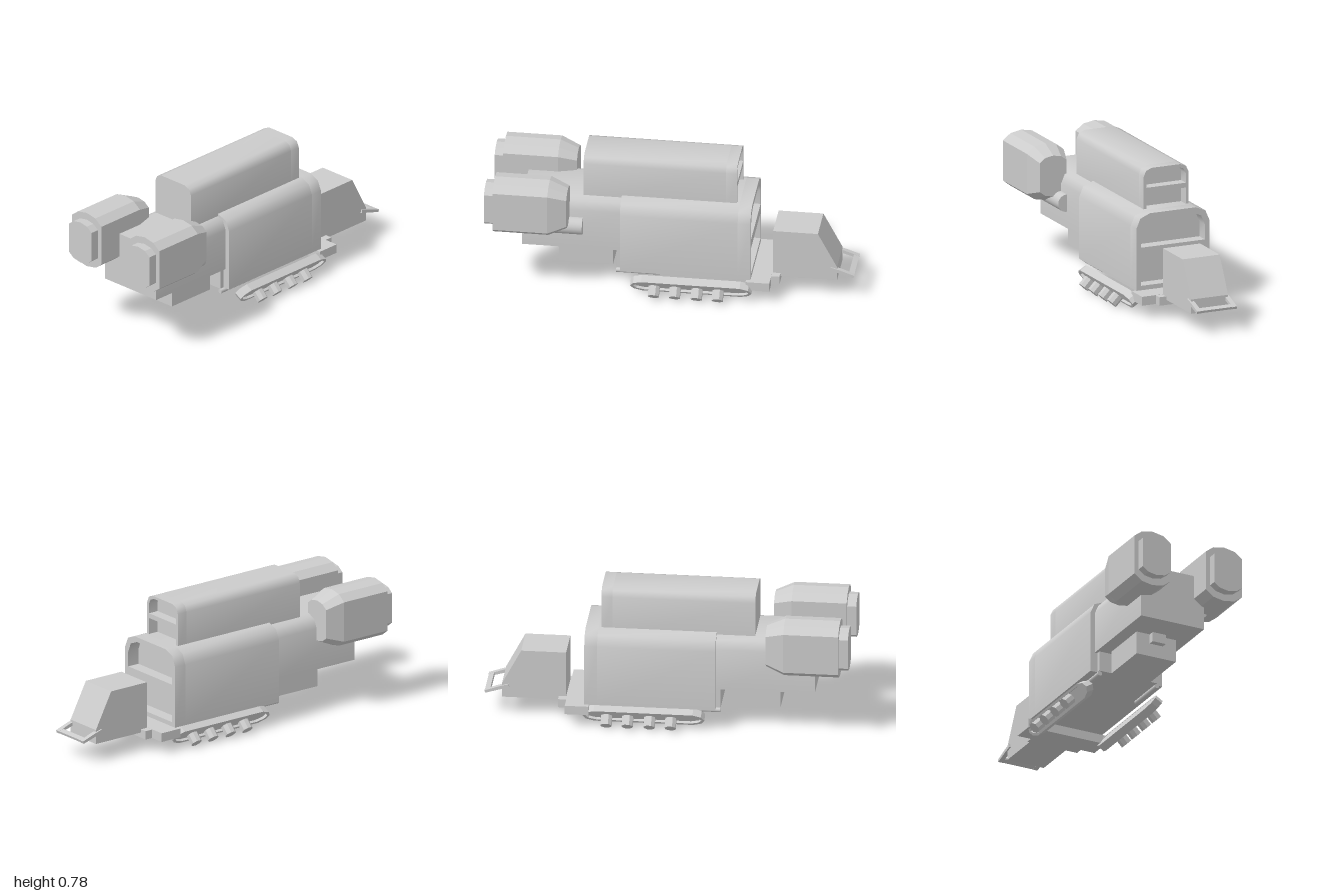
import * as THREE from 'three';
import { toCreasedNormals } from 'three/addons/utils/BufferGeometryUtils.js';

const MID = -0.022; // z of the hull centre line
const grey = new THREE.MeshStandardMaterial({ color: 0xcccccc });

function add(parent, name, geometry, x = 0, y = 0, z = 0) {
  const mesh = new THREE.Mesh(geometry, grey);
  mesh.name = name;
  mesh.position.set(x, y, z);
  parent.add(mesh);
  return mesh;
}

// Box given by its limits on each axis
function block(parent, name, [x0, x1], [y0, y1], [z0, z1]) {
  return add(parent, name, new THREE.BoxGeometry(x1 - x0, y1 - y0, z1 - z0),
    (x0 + x1) / 2, (y0 + y1) / 2, (z0 + z1) / 2);
}

const toPoints = (list) => list.map(([a, b]) => new THREE.Vector2(a, b));

// Symmetric outline with bevelled top shoulders
function archPoints(half, y0, y1, bevelX, bevelY) {
  const side = [
    [half, y0], [half, y1 - bevelY],
    [half - bevelX * 0.3, y1 - bevelY * 0.3], [half - bevelX, y1],
  ];
  return toPoints([...side, ...side.map(([a, b]) => [-a, b]).reverse()]);
}

// Extrude an outline (across, up) along x
function alongX(points, x0, x1, holes = [], crease = 0.9, steps = 1) {
  const shape = new THREE.Shape(points);
  shape.holes = holes.map((h) => new THREE.Path(h));
  const geo = new THREE.ExtrudeGeometry(shape, { depth: x1 - x0, bevelEnabled: false, steps });
  geo.rotateY(Math.PI / 2).translate(x0, 0, 0);
  return toCreasedNormals(geo, crease);
}

// Elongated loop outline of a track
function trackPoints(sx, sy) {
  const quarter = [[0.333, 0], [0.315, 0.028], [0.27, 0.045]];
  const top = [...quarter, ...quarter.map(([a, b]) => [-a, b]).reverse()];
  const bottom = top.slice(1, -1).map(([a, b]) => [a, -b]).reverse();
  return toPoints([...top, ...bottom].map(([a, b]) => [a * sx, b * sy]));
}

function makeTrack() {
  const track = new THREE.Group();
  track.name = 'track';
  const slab = new THREE.Group();
  slab.name = 'trackSlab';
  slab.position.set(0, 0.074, 0.212);
  slab.rotation.x = 0.54;
  track.add(slab);
  const rim = new THREE.Shape(trackPoints(1, 1));
  rim.holes.push(new THREE.Path(trackPoints(0.95, 0.72)));
  add(slab, 'trackRim', new THREE.ExtrudeGeometry(rim, { depth: 0.046, bevelEnabled: false }), 0, 0, -0.023);
  add(slab, 'trackPanel', new THREE.ExtrudeGeometry(new THREE.Shape(trackPoints(0.96, 0.75)),
    { depth: 0.03, bevelEnabled: false }), 0, 0, -0.022);
  for (const x of [-0.2, -0.085, 0.035, 0.15]) {
    const geo = toCreasedNormals(new THREE.CylinderGeometry(0.032, 0.032, 0.056, 8), 0.3);
    geo.rotateY(Math.PI / 8).rotateX(Math.PI / 2 + 0.8);
    add(track, 'roadWheel', geo, x, 0.045, 0.25);
  }
  return track;
}

function makeEngine() {
  const engine = new THREE.Group();
  engine.name = 'engine';
  const top = [[0.111, 0.113], [0.065, 0.148], [0, 0.16], [-0.065, 0.148], [-0.111, 0.113]];
  const ring = [...top, ...top.map(([a, b]) => [-a, -b])];
  // Housing: the last ring shrinks to make the tapered nose
  const housing = alongX(toPoints(ring), -0.95, -0.55, [], 0.1, 4);
  const p = housing.attributes.position;
  for (let i = 0; i < p.count; i++) {
    if (p.getX(i) > -0.56) p.setXYZ(i, p.getX(i), p.getY(i) * 0.72, p.getZ(i) * 0.73);
  }
  add(engine, 'engineHousing', toCreasedNormals(housing, 0.2));
  const nozzle = ring.map(([a, b]) => [a * 0.77, b * 0.75]);
  add(engine, 'engineNozzle', alongX(toPoints(nozzle), -1, -0.94, [], 0.3));
  return engine;
}

export function createModel() {
  const model = new THREE.Group();
  model.name = 'heavyHauler';

  // Hull sections, each with a framed, recessed front
  add(model, 'mainHull', alongX(archPoints(0.22, 0.13, 0.558, 0.082, 0.08), -0.27, 0.375), 0, 0, MID);
  add(model, 'mainFrontFrame', alongX(archPoints(0.22, 0.13, 0.558, 0.082, 0.08), 0.375, 0.445, [
    archPoints(0.193, 0.37, 0.53, 0.075, 0.075),
    toPoints([[-0.193, 0.155], [0.193, 0.155], [0.193, 0.315], [-0.193, 0.315]]),
  ]), 0, 0, MID);
  add(model, 'upperDeck', alongX(archPoints(0.135, 0.5, 0.786, 0.048, 0.046), -0.48, 0.3), 0, 0, MID);
  add(model, 'upperFrontFrame', alongX(archPoints(0.135, 0.5, 0.786, 0.048, 0.046), 0.3, 0.36, [
    archPoints(0.119, 0.677, 0.771, 0.045, 0.04),
    toPoints([[-0.119, 0.54], [0.119, 0.54], [0.119, 0.65], [-0.119, 0.65]]),
  ]), 0, 0, MID);
  add(model, 'rearHull', alongX(archPoints(0.193, 0.245, 0.55, 0.07, 0.07), -0.81, -0.27), 0, 0, MID);

  // Underside fittings
  block(model, 'rearBellyBox', [-0.615, -0.32], [0.115, 0.25], [-0.14, 0.1]);
  block(model, 'bellyLatch', [-0.65, -0.61], [0.19, 0.25], [-0.06, 0.02]);
  block(model, 'hullStep', [-0.295, -0.265], [0.13, 0.25], [-0.2, 0.155]);
  for (const side of [-1, 1]) {
    add(model, 'bellyRod', new THREE.CylinderGeometry(0.013, 0.013, 0.24, 12).rotateZ(Math.PI / 2),
      -0.175, 0.114, MID + side * 0.175);
  }
  add(model, 'sidePipe', new THREE.CylinderGeometry(0.049, 0.049, 0.275, 20).rotateZ(Math.PI / 2),
    -0.6125, 0.388, 0.176);

  // Engines on both sides of the rear hull
  for (const z of [0.219, -0.219]) {
    const engine = makeEngine();
    engine.position.set(0, 0.527, z);
    model.add(engine);
  }

  // Tracks, the far one turned half round
  for (const turn of [0, Math.PI]) {
    const track = makeTrack();
    track.position.set(0.1225, 0, -0.005);
    track.rotation.y = turn;
    model.add(track);
  }

  // Front hitch plates
  block(model, 'hitchPlate', [0.42, 0.55], [0.075, 0.125], [-0.258, 0.214]);
  block(model, 'hitchTongue', [0.55, 0.595], [0.076, 0.124], [-0.175, 0.131]);

  // Cab with sloped nose
  const cab = new THREE.Shape(toPoints([[0.555, 0.105], [0.905, 0.105], [0.905, 0.185], [0.8, 0.385], [0.555, 0.385]]));
  add(model, 'cab', new THREE.ExtrudeGeometry(cab, { depth: 0.223, bevelEnabled: false }), 0, 0, -0.133);

  // Bumper: two bent arms and a cross bar
  const arm = new THREE.Shape(toPoints([
    [0.865, 0.165], [0.915, 0.152], [0.995, 0.128], [1, 0.142], [0.92, 0.17], [0.87, 0.184],
  ]));
  for (const z of [0.072, -0.142]) {
    add(model, 'bumperArm', new THREE.ExtrudeGeometry(arm, { depth: 0.026, bevelEnabled: false }), 0, 0, z);
  }
  const bar = add(model, 'bumperBar', new THREE.BoxGeometry(0.03, 0.014, 0.235), 0.982, 0.14, MID);
  bar.rotation.z = -0.3;

  return model;
}
